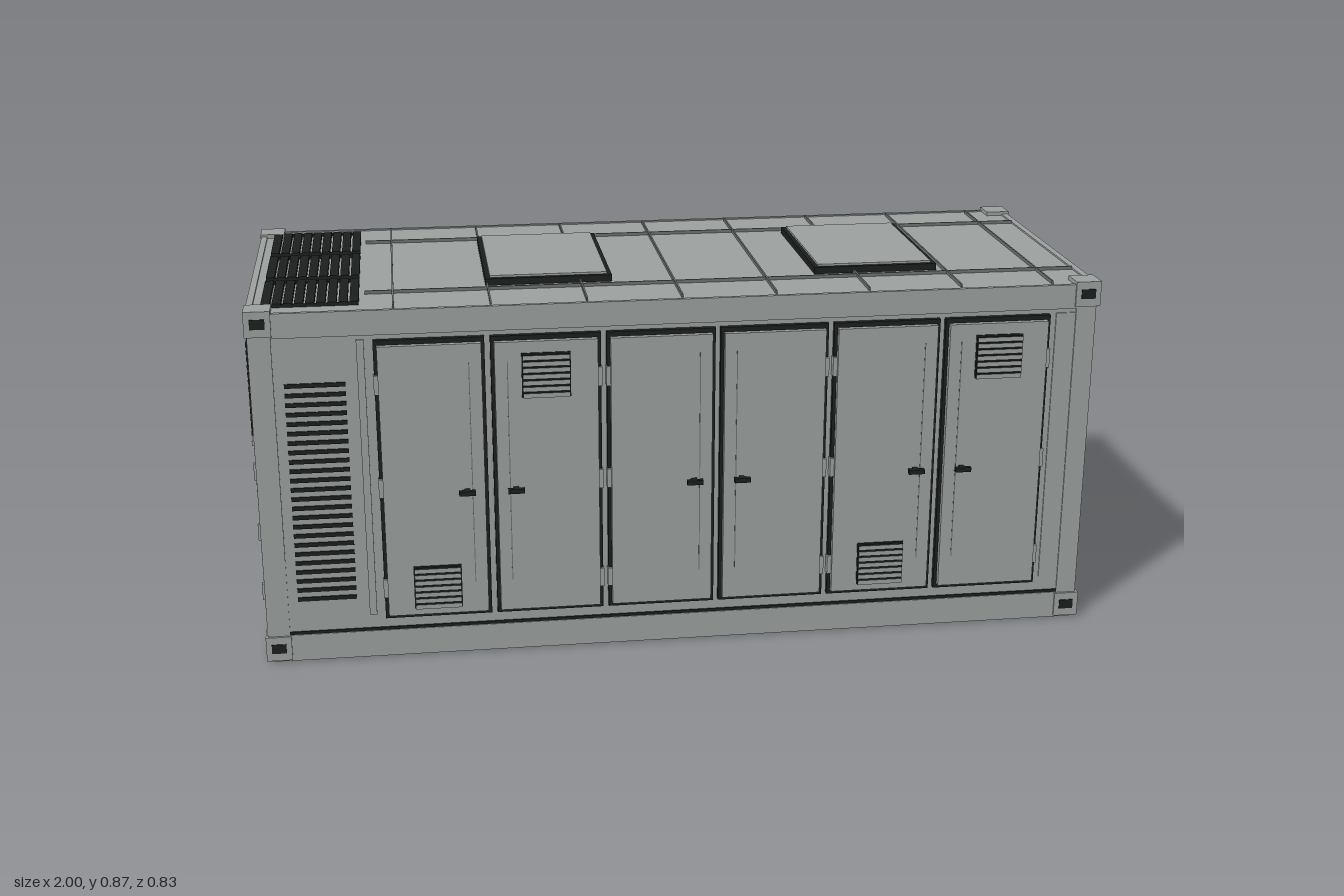
import * as THREE from 'three';

export function createModel() {
  const model = new THREE.Group();
  model.name = 'equipmentContainer';

  const material = (name, color) => {
    const m = new THREE.MeshStandardMaterial({ color });
    m.name = name;
    return m;
  };
  const grey = material('panel grey', 0x9ba19f);
  const seamGrey = material('seam grey', 0x6c7271);
  const black = material('black', 0x1c1f1f);
  // Louver blades: grey only on the face towards +z
  const blade = [black, black, black, black, grey, black];

  // Box given by its limits on each axis
  function box(parent, name, mat, x0, x1, y0, y1, z0, z1) {
    const mesh = new THREE.Mesh(new THREE.BoxGeometry(x1 - x0, y1 - y0, z1 - z0), mat);
    mesh.position.set((x0 + x1) / 2, (y0 + y1) / 2, (z0 + z1) / 2);
    mesh.name = name;
    parent.add(mesh);
    return mesh;
  }
  function group(name) {
    const g = new THREE.Group();
    g.name = name;
    model.add(g);
    return g;
  }

  // Body shell
  box(model, 'body', grey, -0.965, 0.985, 0, 0.85, -0.405, 0.365);

  // Rails along the sides and across the ends
  const frame = group('frame');
  box(frame, 'frontBottomRail', grey, -0.92, 0.945, 0.002, 0.068, 0.36, 0.37);
  box(frame, 'frontTopRail', grey, -0.92, 0.945, 0.795, 0.853, 0.36, 0.37);
  box(frame, 'backBottomRail', grey, -0.92, 0.945, 0.002, 0.075, -0.41, -0.4);
  box(frame, 'backTopRail', grey, -0.92, 0.945, 0.805, 0.853, -0.41, -0.4);
  box(frame, 'frontRailSeam', black, -0.92, 0.945, 0.068, 0.075, 0.36, 0.368);
  for (const [x0, x1] of [[-0.975, -0.96], [0.98, 0.996]]) {
    box(frame, 'endBottomRail', grey, x0, x1, 0.002, 0.07, -0.355, 0.315);
    box(frame, 'endTopRail', grey, x0, x1, 0.818, 0.854, -0.355, 0.315);
    box(frame, 'endRailSeam', black, x0 + 0.002, x1 - 0.002, 0.07, 0.079, -0.355, 0.315);
  }
  for (const z of [0.13, -0.17]) {
    box(frame, 'railSlot', black, 0.98, 0.99, 0.813, 0.818, z - 0.04, z + 0.04);
  }

  // Corner posts with castings and their dark sockets
  for (const [x0, x1] of [[-0.977, -0.917], [0.94, 1.0]]) {
    for (const [z0, z1] of [[0.312, 0.374], [-0.414, -0.35]]) {
      const front = z0 > 0;
      const px = x0 < 0 ? [-0.972, -0.92] : [0.945, 0.993];
      box(frame, 'cornerPost', grey, ...px, 0.06, 0.81,
        front ? 0.335 : -0.409, front ? 0.368 : -0.38);
      for (const y of [0.006, 0.8]) {
        box(frame, 'cornerCasting', grey, x0, x1, y, y + 0.06, z0, z1);
        const face = front ? z1 : z0;
        const xm = (x0 + x1) / 2;
        box(frame, 'castingSocket', black, xm - 0.017, xm + 0.017, y + 0.019, y + 0.042,
          face - 0.002, face + 0.002);
      }
    }
  }

  // Stiffening ribs on the back wall
  const ribs = group('backRibs');
  for (let i = 0; i < 19; i++) {
    const x = -0.885 + i * 0.1;
    box(ribs, 'rib', grey, x - 0.009, x + 0.009, 0.09, 0.79, -0.413, -0.404);
  }

  // Roof seams
  const roof = group('roof');
  for (let i = -3; i <= 4; i++) {
    const x = 0.0125 + i * 0.2194;
    box(roof, 'crossSeam', seamGrey, x - 0.002, x + 0.002, 0.849, 0.858, -0.385, 0.345);
  }
  for (const z of [-0.26, 0.22]) {
    box(roof, 'longSeam', seamGrey, -0.71, 0.98, 0.849, 0.858, z - 0.002, z + 0.002);
  }

  // Roof hatches: dark gasket under a grey lid
  for (const [x0, x1] of [[-0.43, -0.132], [0.355, 0.653]]) {
    box(roof, 'hatchGasket', black, x0, x1, 0.849, 0.866, -0.233, 0.183);
    box(roof, 'hatchLid', grey, x0 + 0.011, x1 - 0.011, 0.86, 0.871, -0.222, 0.172);
  }

  // Roof exhaust grilles
  for (const z0 of [-0.36, -0.127, 0.105]) {
    for (let i = 0; i < 9; i++) {
      const x = -0.941 + i * 0.0248;
      box(roof, 'grilleBar', black, x, x + 0.02, 0.849, 0.859, z0, z0 + 0.205);
    }
    for (const z of [z0, z0 + 0.2]) {
      box(roof, 'grilleEdge', black, -0.941, -0.723, 0.849, 0.857, z, z + 0.005);
    }
  }

  // Intake louver at the left of the front wall
  const intake = group('intakeLouver');
  for (let i = 0; i < 24; i++) {
    const y = 0.152 + i * 0.0228;
    box(intake, 'louverSlot', black, -0.897, -0.76, y, y + 0.01, 0.36, 0.368);
  }
  box(model, 'frontStrip', grey, -0.732, -0.715, 0.11, 0.785, 0.36, 0.37);
  box(model, 'frontEndPlate', grey, 0.897, 0.942, 0.11, 0.785, 0.36, 0.368);

  // Louvered vent on a door
  function vent(parent, x, y) {
    box(parent, 'ventBack', black, x - 0.056, x + 0.056, y - 0.053, y + 0.053, 0.388, 0.394);
    for (let i = 0; i < 7; i++) {
      const yb = y - 0.052 + i * 0.015;
      box(parent, 'ventBlade', blade, x - 0.054, x + 0.054, yb, yb + 0.011, 0.392, 0.402);
    }
  }

  // Six front doors in pairs; side is the edge that carries the handle
  const doors = [
    { x0: -0.69, x1: -0.45, side: 1, vent: [-0.57, 0.183] },
    { x0: -0.427, x1: -0.185, side: -1, vent: [-0.307, 0.693] },
    { x0: -0.162, x1: 0.08, side: 1 },
    { x0: 0.102, x1: 0.345, side: -1 },
    { x0: 0.368, x1: 0.61, side: 1, vent: [0.488, 0.183] },
    { x0: 0.633, x1: 0.875, side: -1, vent: [0.755, 0.693] },
  ];
  for (const d of doors) {
    const g = group('frontDoor');
    box(g, 'doorGasket', black, d.x0 - 0.005, d.x1 + 0.005, 0.102, 0.784, 0.36, 0.378);
    box(g, 'doorPanel', grey, d.x0 + 0.003, d.x1 - 0.003, 0.113, 0.773, 0.374, 0.391);
    const edge = d.side > 0 ? d.x1 : d.x0;
    const hinge = d.side > 0 ? d.x0 : d.x1;
    const hx = edge - d.side * 0.045;
    box(g, 'handle', black, hx - 0.019, hx + 0.019, 0.414, 0.425, 0.402, 0.414);
    box(g, 'handleStem', black, hx - 0.006, hx + 0.006, 0.415, 0.424, 0.388, 0.404);
    const sx = edge - d.side * 0.032;
    box(g, 'doorSeam', seamGrey, sx - 0.001, sx + 0.001, 0.19, 0.73, 0.388, 0.392);
    for (const y of [0.18, 0.43, 0.68]) {
      box(g, 'hinge', grey, hinge - 0.007, hinge + 0.007, y - 0.023, y + 0.023, 0.366, 0.384);
    }
    if (d.vent) vent(g, ...d.vent);
  }

  // Service end: two grilles above two small doors
  const end = group('serviceEnd');
  for (const [z0, z1, side] of [[-0.375, -0.025, 1], [-0.015, 0.335, -1]]) {
    box(end, 'endGrilleBack', black, -0.972, -0.96, 0.545, 0.785, z0, z1);
    for (let i = 0; i < 13; i++) {
      const y = 0.555 + i * 0.0175;
      box(end, 'endGrilleBar', black, -0.979, -0.97, y, y + 0.01, z0 + 0.006, z1 - 0.006);
    }
    box(end, 'endDoorGasket', black, -0.968, -0.96, 0.105, 0.535, z0 - 0.003, z1 + 0.003);
    box(end, 'endDoor', grey, -0.975, -0.96, 0.109, 0.531, z0 + 0.002, z1 - 0.002);
    const hz = -0.02 + (side > 0 ? -0.045 : 0.045);
    box(end, 'endHandle', black, -1, -0.973, 0.298, 0.348, hz - 0.007, hz + 0.007);
    const hinge = side > 0 ? z0 : z1;
    for (const y of [0.17, 0.32, 0.47]) {
      box(end, 'endHinge', grey, -0.979, -0.965, y - 0.02, y + 0.02, hinge - 0.006, hinge + 0.006);
    }
  }
  box(end, 'endLedge', grey, -0.979, -0.96, 0.533, 0.545, -0.378, 0.338);

  return model;
}
